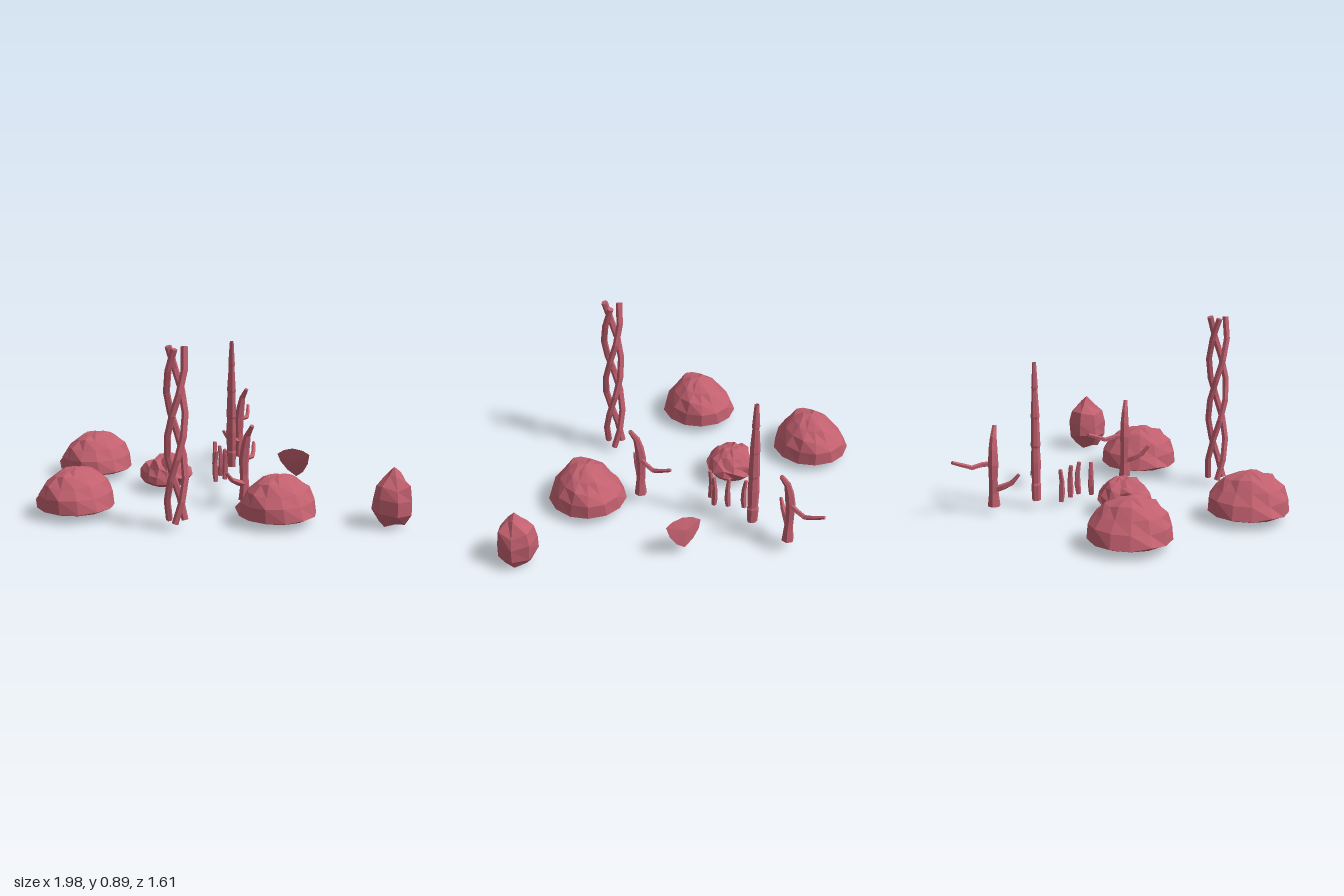
import * as THREE from 'three';

const material = new THREE.MeshStandardMaterial({ color: 0xc2606f, flatShading: true, side: THREE.DoubleSide });

// Repeatable value from -1 to 1 for a position, so that coincident corners move together
function hash(x, y, z, seed) {
  const r = (v) => Math.round(v * 1000);
  const s = Math.sin(r(x) * 12.9898 + r(y) * 78.233 + r(z) * 37.719 + seed * 4.13) * 43758.5453;
  return (s - Math.floor(s)) * 2 - 1;
}

function warp(geometry, rule) {
  const p = geometry.attributes.position;
  const v = new THREE.Vector3();
  for (let i = 0; i < p.count; i++) {
    rule(v.fromBufferAttribute(p, i));
    p.setXYZ(i, v.x, v.y, v.z);
  }
  geometry.computeVertexNormals();
  return geometry;
}

function lathe(profile, sides) {
  return new THREE.LatheGeometry(profile.map(([r, y]) => new THREE.Vector2(r, y)), sides);
}

function add(parent, name, geometry, x = 0, y = 0, z = 0) {
  const mesh = new THREE.Mesh(geometry, material);
  mesh.name = name;
  mesh.position.set(x, y, z);
  parent.add(mesh);
  return mesh;
}

// Tapered, capped limb along a bent line; each point is [x, y, z, radius]
function limb(points, sides = 6) {
  const pos = [], index = [];
  const c = points.map(([x, y, z]) => new THREE.Vector3(x, y, z));
  const last = points.length - 1;
  c.forEach((p, i) => {
    const t = c[Math.min(i + 1, last)].clone().sub(c[Math.max(i - 1, 0)]).normalize();
    const u = new THREE.Vector3(1, 0, 0).addScaledVector(t, -t.x).normalize();
    const v = t.clone().cross(u);
    for (let j = 0; j < sides; j++) {
      const a = j / sides * Math.PI * 2;
      const q = p.clone().addScaledVector(u, Math.cos(a) * points[i][3]).addScaledVector(v, Math.sin(a) * points[i][3]);
      pos.push(q.x, q.y, q.z);
    }
  });
  pos.push(...c[0].toArray(), ...c[last].toArray());
  const start = (last + 1) * sides;
  for (let j = 0; j < sides; j++) {
    const k = (j + 1) % sides;
    for (let i = 0; i < last; i++) {
      const a = i * sides + j, b = i * sides + k;
      index.push(a, b, a + sides, b, b + sides, a + sides);
    }
    index.push(start, k, j, start + 1, last * sides + j, last * sides + k);
  }
  const g = new THREE.BufferGeometry();
  g.setAttribute('position', new THREE.Float32BufferAttribute(pos, 3));
  g.setIndex(index);
  g.computeVertexNormals();
  return g;
}

// Domed boulder, flat underneath and narrowing to a ridge along z
function boulder() {
  const g = lathe([[0, 0.035], [0.17, 0.035], [0.2, 0.05], [0.19, 0.11], [0.165, 0.165], [0.12, 0.21], [0.06, 0.232], [0, 0.24]], 13);
  return warp(g, (v) => {
    const t = Math.max(0, (v.y - 0.05) / 0.19);
    const n = hash(v.x, v.y, v.z, 3);
    v.x *= 1 - 0.33 * t;
    if (t > 0 && t < 0.99) {
      v.x *= 1 + n * 0.04;
      v.z *= 1 + n * 0.04;
      v.y += n * 0.008;
    }
    v.x += t * 0.008;
  });
}

// Low craggy lump with jagged plates
function lump() {
  const g = lathe([[0, 0.035], [0.1, 0.035], [0.128, 0.06], [0.125, 0.095], [0.105, 0.13], [0.075, 0.155], [0.04, 0.175], [0, 0.185]], 15);
  return warp(g, (v) => {
    if (v.y < 0.04) return;
    const { x, y, z } = v;
    const s = 1 + hash(x, y, z, 7) * 0.13;
    v.set(x * s, y + hash(x, y, z, 11) * 0.016, z * s);
  });
}

// Pointed egg-shaped rock
function pointedRock() {
  const g = lathe([[0, 0.008], [0.065, 0.015], [0.102, 0.075], [0.1, 0.14], [0.085, 0.2], [0.035, 0.255], [0, 0.295]], 7);
  return warp(g, (v) => {
    const n = hash(v.x, v.y, v.z, 5);
    if (v.y > 0.01 && v.y < 0.29) {
      v.x *= 1 + n * 0.06;
      v.z *= 1 + n * 0.06;
      v.y = Math.max(0, v.y + n * 0.015);
    }
  });
}

// Forked branch: leaning trunk, long rear twig, short front shoot
function branch(name, x, z) {
  const g = new THREE.Group();
  g.name = name;
  g.position.set(x, 0, z);
  add(g, 'trunk', limb([[0, 0.04, 0, 0.032], [0, 0.11, 0, 0.024], [-0.005, 0.17, 0, 0.022], [-0.005, 0.25, 0.002, 0.026],
    [0.004, 0.32, 0, 0.023], [0.018, 0.38, 0, 0.017], [0.05, 0.432, 0, 0.011]]));
  add(g, 'rearTwig', limb([[0, 0.255, 0, 0.014], [-0.015, 0.25, -0.05, 0.013], [-0.04, 0.24, -0.095, 0.012],
    [-0.07, 0.26, -0.135, 0.011], [-0.11, 0.283, -0.175, 0.009]], 5));
  add(g, 'frontShoot', limb([[0, 0.12, 0, 0.018], [-0.004, 0.14, 0.05, 0.016], [-0.004, 0.16, 0.09, 0.013], [-0.004, 0.205, 0.128, 0.008]], 5));
  return g;
}

// Thin fan, pointed at the foot and thickest in the middle
function fan() {
  const s = new THREE.Shape([[0.0, -0.08], [0.045, -0.05], [0.08, 0.0], [0.097, 0.055], [0.06, 0.075], [0.0, 0.083],
    [-0.055, 0.068], [-0.097, 0.042], [-0.085, 0.0], [-0.05, -0.045]].map(([x, y]) => new THREE.Vector2(x, y)));
  const outline = s.getPoints();
  const pos = [];
  outline.forEach((p, i) => {
    const q = outline[(i + 1) % outline.length];
    pos.push(0, 0.015, 0.014, p.x, p.y, 0, q.x, q.y, 0);
    pos.push(0, 0.015, -0.01, q.x, q.y, 0, p.x, p.y, 0);
  });
  const g = new THREE.BufferGeometry();
  g.setAttribute('position', new THREE.Float32BufferAttribute(pos, 3));
  g.computeVertexNormals();
  return g;
}

export function createModel() {
  const model = new THREE.Group();

  [[-0.8, 0.09], [-0.33, 0.605], [0.455, -0.02]].forEach(([x, z]) => add(model, 'boulder', boulder(), x, 0, z));
  add(model, 'craggyLump', lump(), -0.32, 0, 0);
  add(model, 'pointedRock', pointedRock(), 0.89, 0, -0.375);

  // Jointed tapering stalk with an open tip
  const stalk = lathe([[0, 0.04], [0.027, 0.04], [0.032, 0.12], [0.027, 0.13], [0.032, 0.235], [0.027, 0.31], [0.031, 0.32],
    [0.025, 0.455], [0.028, 0.465], [0.018, 0.6], [0.021, 0.61], [0.012, 0.735]], 7);
  stalk.scale(1, 1, 0.78);
  add(model, 'stalk', stalk, -0.285, 0, -0.443);

  // Small curved shoots
  [[-0.285, -0.32], [-0.21, -0.285], [-0.145, -0.255], [-0.145, -0.19]].forEach(([x, z], i) => {
    const shoot = add(model, 'shoot', limb([[0, 0.035, 0, 0.013], [0.003, 0.08, 0.004, 0.016], [0.003, 0.14, 0.004, 0.013], [-0.004, 0.2, -0.002, 0.01]], 5), x, 0, z);
    shoot.rotation.y = i * 1.3;
  });

  model.add(branch('branchBack', -0.405, -0.63), branch('branchMiddle', 0.19, -0.065));

  // Tower of three vines twisted around an open core
  const tower = new THREE.Group();
  tower.name = 'twistedTower';
  tower.position.set(0.205, 0, 0.415);
  for (let k = 0; k < 3; k++) {
    const points = [];
    for (let i = 0; i <= 8; i++) {
      const a = (20 - 90 + k * 120) * Math.PI / 180 + (1 - i / 8) * Math.PI * 2;
      points.push([Math.cos(a) * 0.043, 0.04 + i * 0.106, Math.sin(a) * 0.045, 0.017]);
    }
    add(tower, 'vine', limb(points, 6));
  }
  model.add(tower);

  const leaf = add(model, 'fan', fan(), 0.098, 0.12, -0.535);
  leaf.rotation.set(0.2, 0.25, 0);
  return model;
}
